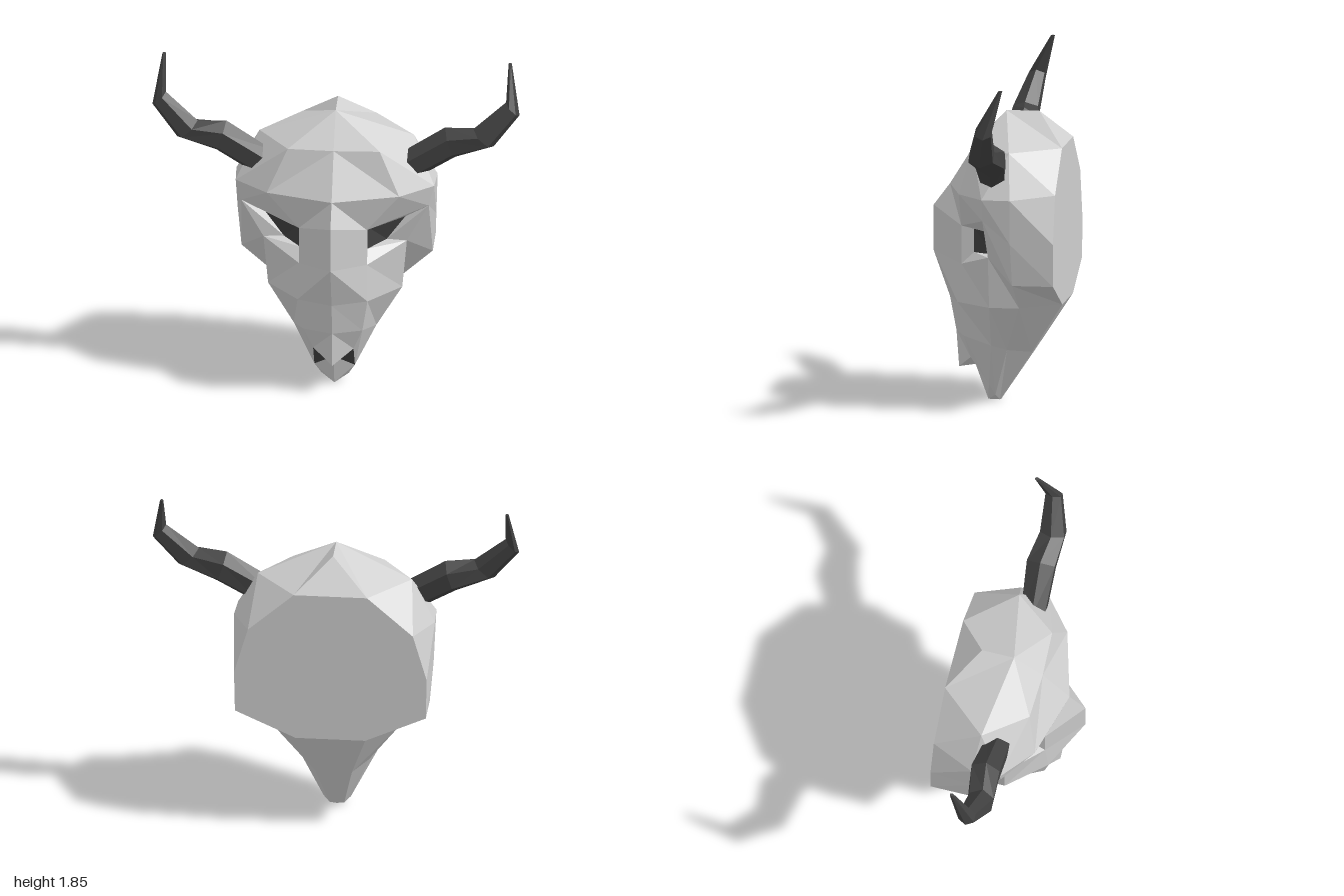
import * as THREE from 'three';

// Collects polygons on the +x half and mirrors each of them to -x
class MirrorMesh {
  constructor() { this.pos = []; }
  tri(a, b, c) {
    const same = (p, q) => p.every((v, i) => v === q[i]);
    if (same(a, b) || same(b, c) || same(a, c)) return;
    const m = ([x, y, z]) => [-x, y, z];
    this.pos.push(...a, ...b, ...c, ...m(a), ...m(c), ...m(b));
  }
  poly(...p) {
    for (let i = 1; i < p.length - 1; i++) this.tri(p[0], p[i], p[i + 1]);
  }
  mesh(name, material) {
    const g = new THREE.BufferGeometry();
    g.setAttribute('position', new THREE.Float32BufferAttribute(this.pos, 3));
    g.computeVertexNormals();
    const mesh = new THREE.Mesh(g, material);
    mesh.name = name;
    return mesh;
  }
}

export function createModel() {
  const bone = new THREE.MeshStandardMaterial({ color: 0xcfcfcf, flatShading: true });
  bone.name = 'bone';
  const dark = new THREE.MeshStandardMaterial({ color: 0x424242, flatShading: true });
  dark.name = 'dark horn';

  // Half cross-sections from crown to snout: centre, inner, outer, side, back, back centre
  const crown = [0, 1.59, -0.01], crownBack = [0, 1.59, -0.19];
  const temple = [0.42, 1.42, -0.087];
  const rows = [
    [crown, crown, crown, crown, crownBack, crownBack],
    [[0, 1.42, 0.15], [0.25, 1.42, 0.14], temple, temple, [0.2, 1.42, -0.345], [0, 1.42, -0.345]],
    [[0, 1.18, 0.3], [0.36, 1.18, 0.197], [0.54, 1.18, 0.046], [0.547, 1.18, -0.11], [0.45, 1.2, -0.345], [0, 1.2, -0.345]],
    [[0, 1.06, 0.39], [0.185, 0.98, 0.21], [0.51, 1.06, 0.045], [0.54, 0.94, -0.11], [0.525, 0.94, -0.345], [0, 0.94, -0.345]],
    [[0, 0.81, 0.39], [0.185, 0.77, 0.21], [0.39, 0.84, 0.033], [0.52, 0.71, -0.12], [0.52, 0.71, -0.345], [0, 0.71, -0.345]],
    [[0, 0.56, 0.3], [0.19, 0.56, 0.23], [0.365, 0.56, 0.03], [0.36, 0.56, -0.134], [0.19, 0.56, -0.345], [0, 0.56, -0.345]],
    [[0, 0.375, 0.265], [0.16, 0.37, 0.2], [0.225, 0.33, 0.04], [0.18, 0.3, -0.04], [0.1, 0.28, -0.165], [0, 0.28, -0.165]],
    [[0, 0.175, 0.25], [0.11, 0.245, 0.17], [0.11, 0.1, 0.07], [0.075, 0.035, 0.04], [0.04, 0.005, 0.02], [0, 0, 0.02]],
  ];
  const EYE_ROW = 3, EYE_COL = 1;

  const skull = new MirrorMesh();
  for (let r = 0; r < rows.length - 1; r++) {
    for (let c = 0; c < 5; c++) {
      if (r === EYE_ROW && c === EYE_COL) continue;
      skull.poly(rows[r][c], rows[r + 1][c], rows[r + 1][c + 1], rows[r][c + 1]);
    }
  }

  // Eye socket: bone walls leading to a dark recessed face
  const rim = [rows[3][1], rows[3][2], rows[4][2], rows[4][1]];
  const inner = [[0.185, 0.965, 0.14], [0.38, 0.97, 0], [0.28, 0.84, 0.02], [0.185, 0.835, 0.14]];
  for (let i = 0; i < 4; i++) {
    const j = (i + 1) % 4;
    skull.poly(rim[i], inner[i], inner[j], rim[j]);
  }
  const eyes = new MirrorMesh();
  eyes.poly(inner[0], inner[3], inner[2], inner[1]);

  // Nose underside, nostrils and chin
  const [tip, nose, lip, jaw, heel, heelMid] = rows[7];
  const septum = [0, 0.19, 0.16], chin = [0, 0, 0.09];
  skull.poly(tip, septum, nose);
  skull.poly(septum, chin, lip);
  skull.poly(lip, chin, jaw);
  skull.poly(jaw, chin, heel);
  skull.poly(heel, chin, heelMid);
  const nostrils = new MirrorMesh();
  nostrils.poly(nose, septum, lip);

  // Horn sections: upper x, y, lower x, y, centre z, half depth
  const sections = [
    [0.335, 1.34, 0.465, 1.22, 0, 0.075],
    [0.595, 1.505, 0.65, 1.33, -0.015, 0.09],
    [0.75, 1.51, 0.86, 1.41, 0.005, 0.078],
    [0.925, 1.66, 0.998, 1.585, -0.03, 0.05],
    [0.932, 1.85, 0.95, 1.85, -0.12, 0.012],
  ];
  const SIDES = 6;
  const rings = sections.map(([ux, uy, lx, ly, z, d]) =>
    Array.from({ length: SIDES }, (_, k) => {
      const t = (k / SIDES) * Math.PI * 2, w = (1 + Math.cos(t)) / 2;
      return [lx + (ux - lx) * w, ly + (uy - ly) * w, z + d * Math.sin(t)];
    }));
  const horns = new MirrorMesh();
  for (let s = 0; s < rings.length - 1; s++) {
    for (let k = 0; k < SIDES; k++) {
      const n = (k + 1) % SIDES;
      horns.poly(rings[s][k], rings[s][n], rings[s + 1][n], rings[s + 1][k]);
    }
  }
  horns.poly(...[...rings[0]].reverse());
  horns.poly(...rings[rings.length - 1]);

  // The whole head is turned slightly
  const head = new THREE.Group();
  head.name = 'head';
  head.add(
    skull.mesh('skull', bone),
    eyes.mesh('eyeSockets', dark),
    nostrils.mesh('nostrils', dark),
    horns.mesh('horns', dark),
  );
  head.rotation.y = 0.085;
  head.position.x = 0.003;

  const model = new THREE.Group();
  model.name = 'hornedSkull';
  model.add(head);
  return model;
}
